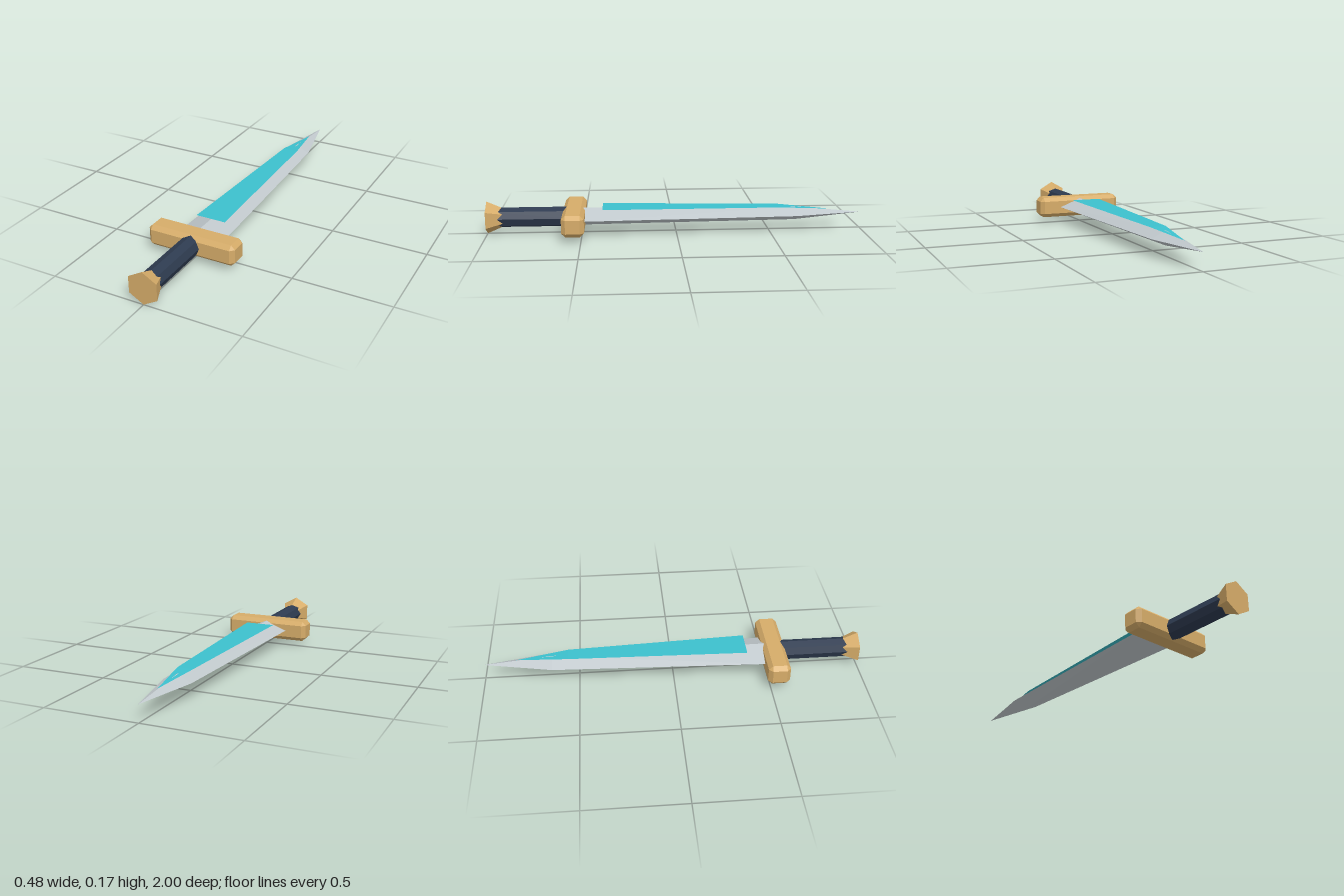
import * as THREE from 'three';
import { ConvexGeometry } from 'three/addons/geometries/ConvexGeometry.js';

const CY = 0.087; // height of the sword's long axis

const paint = (name, color, extra = {}) => {
  const m = new THREE.MeshStandardMaterial({ color, flatShading: true, ...extra });
  m.name = name;
  return m;
};

// Box with every edge cut at 45 degrees
function chamferBox(x, y, z, c) {
  const pts = [];
  for (const sx of [-1, 1]) for (const sy of [-1, 1]) for (const sz of [-1, 1]) {
    pts.push(
      new THREE.Vector3(sx * x, sy * (y - c), sz * (z - c)),
      new THREE.Vector3(sx * (x - c), sy * y, sz * (z - c)),
      new THREE.Vector3(sx * (x - c), sy * (y - c), sz * z));
  }
  return new ConvexGeometry(pts);
}

// Prism or frustum along z, with a corner pointing up
function prismZ(rFront, rBack, zFront, zBack, sides) {
  const g = new THREE.CylinderGeometry(rFront, rBack, zFront - zBack, sides);
  return g.rotateX(Math.PI / 2).translate(0, 0, (zFront + zBack) / 2);
}

// Diamond sections [z, half width, half thickness] closing to a point
function bladeGeometry(sections, tipZ) {
  const pts = [new THREE.Vector3(0, 0, tipZ)];
  for (const [z, w, t] of sections) {
    pts.push(new THREE.Vector3(w, 0, z), new THREE.Vector3(0, t, z),
      new THREE.Vector3(-w, 0, z), new THREE.Vector3(0, -t, z));
  }
  return new ConvexGeometry(pts);
}

// Level strip from rows [z, half width, y], ending in a point
function inlayGeometry(rows) {
  const pos = [], idx = [];
  rows.forEach(([z, w, y], i) => {
    pos.push(-w, y, z, w, y, z);
    if (i) {
      const a = 2 * i - 2;
      idx.push(a, a + 1, a + 3, a, a + 3, a + 2);
    }
  });
  const g = new THREE.BufferGeometry();
  g.setAttribute('position', new THREE.Float32BufferAttribute(pos, 3));
  g.setIndex(idx);
  g.computeVertexNormals();
  return g;
}

export function createModel() {
  const group = new THREE.Group();
  group.name = 'sword';
  const gold = paint('gold', 0xd6ac69);
  const steel = paint('steel', 0xc0c8cc);
  const teal = paint('teal', 0x3cc0cd, { side: THREE.DoubleSide });
  const navy = paint('navy grip', 0x2e3b50);

  const add = (name, geometry, material) => {
    const mesh = new THREE.Mesh(geometry, material);
    mesh.name = name;
    mesh.position.y = CY;
    group.add(mesh);
  };

  add('blade', bladeGeometry([[0.5, 0.122, 0.047], [-0.64, 0.076, 0.036]], -1), steel);
  // Flat strip resting on the upper ridge, bending down toward the tip
  add('bladeInlay', inlayGeometry([[0.39, 0.08, 0.05], [-0.555, 0.042, 0.041], [-0.83, 0, 0.02]]), teal);

  const guard = chamferBox(0.238, 0.0565, 0.058, 0.021);
  guard.translate(0, 0, 0.54);
  add('crossGuard', guard, gold);

  add('grip', prismZ(0.053, 0.053, 0.96, 0.56, 8), navy);
  add('pommel', prismZ(0.0865, 0.045, 1, 0.905, 6), gold);
  return group;
}
